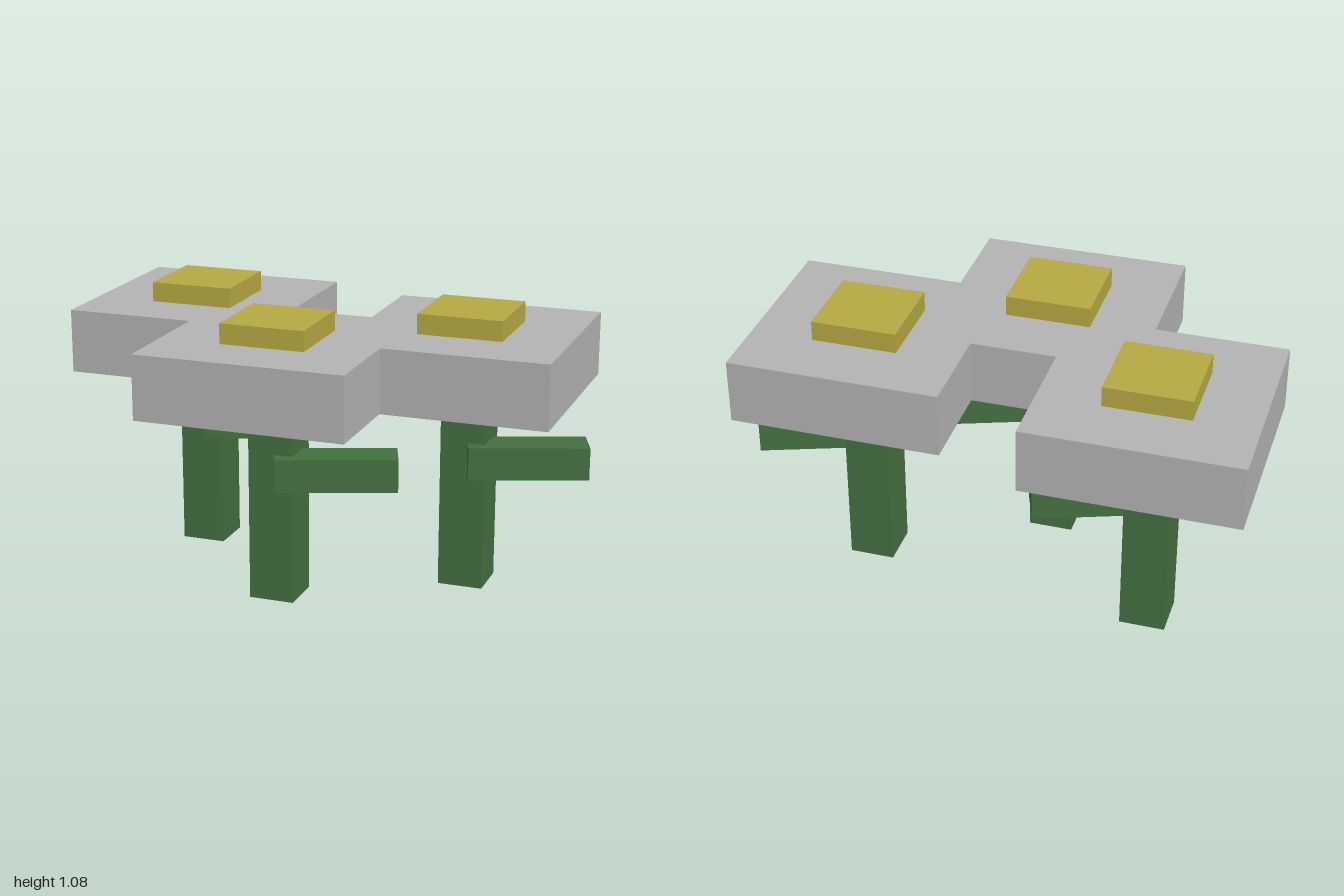
import * as THREE from 'three';

const mat = (name, color) => {
  const m = new THREE.MeshStandardMaterial({ color, side: THREE.DoubleSide });
  m.name = name;
  return m;
};

// Box standing on its base height, with the underside left open
function openBox(name, width, y0, y1, depth, material) {
  const geo = new THREE.BoxGeometry(width, y1 - y0, depth);
  const index = Array.from(geo.index.array);
  index.splice(18, 6); // underside face
  geo.setIndex(index);
  geo.clearGroups();
  const mesh = new THREE.Mesh(geo, material);
  mesh.name = name;
  mesh.position.y = (y0 + y1) / 2;
  return mesh;
}

export function createModel() {
  const group = new THREE.Group();
  group.name = 'flowers';
  const green = mat('stem green', 0x446f41);
  const grey = mat('petal grey', 0xb3b3b3);
  const yellow = mat('centre yellow', 0xb5a942);

  // Three identical flowers
  const spots = [[-0.598, -0.257], [-0.096, 0.253], [0.532, -0.128]];
  for (const [x, z] of spots) {
    const flower = new THREE.Group();
    flower.name = 'flower';
    flower.position.set(x, 0, z);

    const stem = openBox('stem', 0.174, 0, 0.759, 0.174, green);
    const petals = openBox('petals', 0.804, 0.759, 1.006, 0.804, grey);
    const centre = openBox('flowerCentre', 0.326, 0.92, 1.083, 0.326, yellow);

    // Leaf slanting out from the stem
    const leaf = openBox('leaf', 0.455, 0.455, 0.58, 0.15, green);
    leaf.position.x = 0.229;
    leaf.rotation.y = THREE.MathUtils.degToRad(20);

    flower.add(stem, petals, centre, leaf);
    group.add(flower);
  }
  return group;
}
